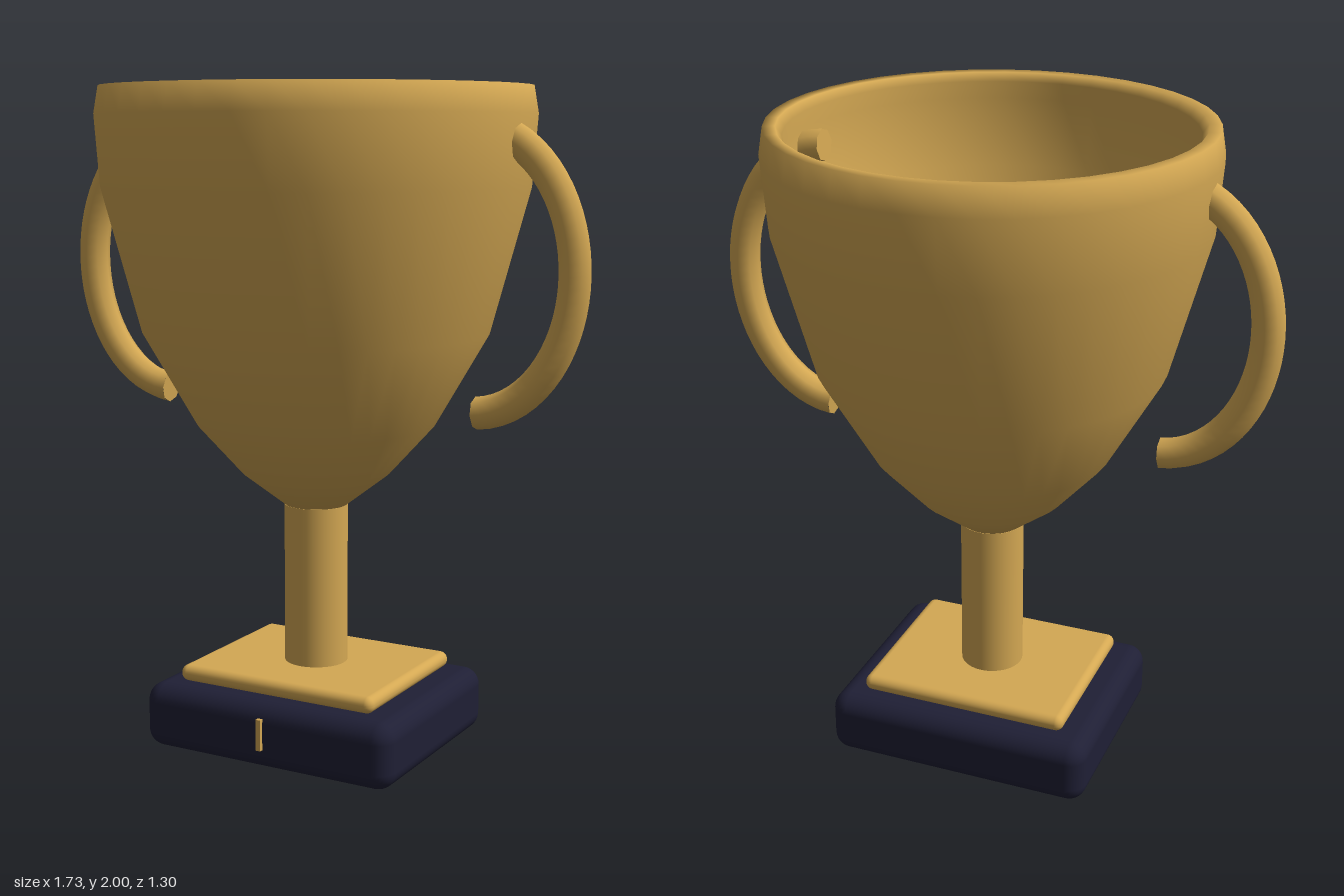
import * as THREE from 'three';
import { RoundedBoxGeometry } from 'three/addons/geometries/RoundedBoxGeometry.js';

// Half-ellipse centreline of a handle, in the x-y plane
class HandleCurve extends THREE.Curve {
  getPoint(t, target = new THREE.Vector3()) {
    const a = THREE.MathUtils.degToRad(86.5 - 173 * t);
    return target.set(0.508 + 0.307 * Math.cos(a), 1.475 + 0.405 * Math.sin(a), 0);
  }
}

export function createModel() {
  const group = new THREE.Group();
  const gold = new THREE.MeshStandardMaterial({ color: 0xd4a853 });
  gold.name = 'gold';
  const navy = new THREE.MeshStandardMaterial({ color: 0x1f1f35 });
  navy.name = 'darkNavy';

  const add = (name, geometry, material, y = 0, z = 0, parent = group) => {
    const mesh = new THREE.Mesh(geometry, material);
    mesh.name = name;
    mesh.position.set(0, y, z);
    parent.add(mesh);
    return mesh;
  };

  // Plinth, step and front marker
  add('base', new RoundedBoxGeometry(0.84, 0.2, 0.68, 4, 0.055), navy, 0.105);
  add('baseStep', new RoundedBoxGeometry(0.66, 0.05, 0.54, 4, 0.024), gold, 0.233);
  add('frontMarker', new THREE.BoxGeometry(0.016, 0.095, 0.03), gold, 0.118, 0.337);

  // Stem
  add('stem', new THREE.CylinderGeometry(0.097, 0.097, 0.53, 32), gold, 0.485);

  // Bowl: outer wall, rim, then inner wall down to the floor
  const profile = [
    [0, 0.75], [0.095, 0.75], [0.225, 0.85], [0.36, 1.0], [0.52, 1.28], [0.635, 1.71],
    [0.65, 1.92], [0.636, 2.0], [0.6, 2.0], [0.583, 1.975], [0.598, 1.92], [0.582, 1.71],
    [0.475, 1.3], [0.32, 1.04], [0.18, 0.9], [0, 0.82],
  ].map(([r, y]) => new THREE.Vector2(r, y));
  add('bowl', new THREE.LatheGeometry(profile, 40), gold);

  // Handles: tube with capped ends, turned half round for the other side
  const curve = new HandleCurve();
  const tube = new THREE.TubeGeometry(curve, 32, 0.048, 8, false);
  const cap = new THREE.CircleGeometry(0.048, 8);
  for (const side of [1, -1]) {
    const handle = new THREE.Group();
    handle.name = side > 0 ? 'leftHandle' : 'rightHandle';
    add('handleTube', tube, gold, 0, 0, handle);
    for (const t of [0, 1]) {
      const end = add('handleEnd', cap, gold, 0, 0, handle);
      end.position.copy(curve.getPoint(t));
      const outward = curve.getTangent(t).multiplyScalar(t ? 1 : -1);
      end.quaternion.setFromUnitVectors(new THREE.Vector3(0, 0, 1), outward);
    }
    if (side < 0) handle.rotation.y = Math.PI;
    group.add(handle);
  }
  return group;
}
